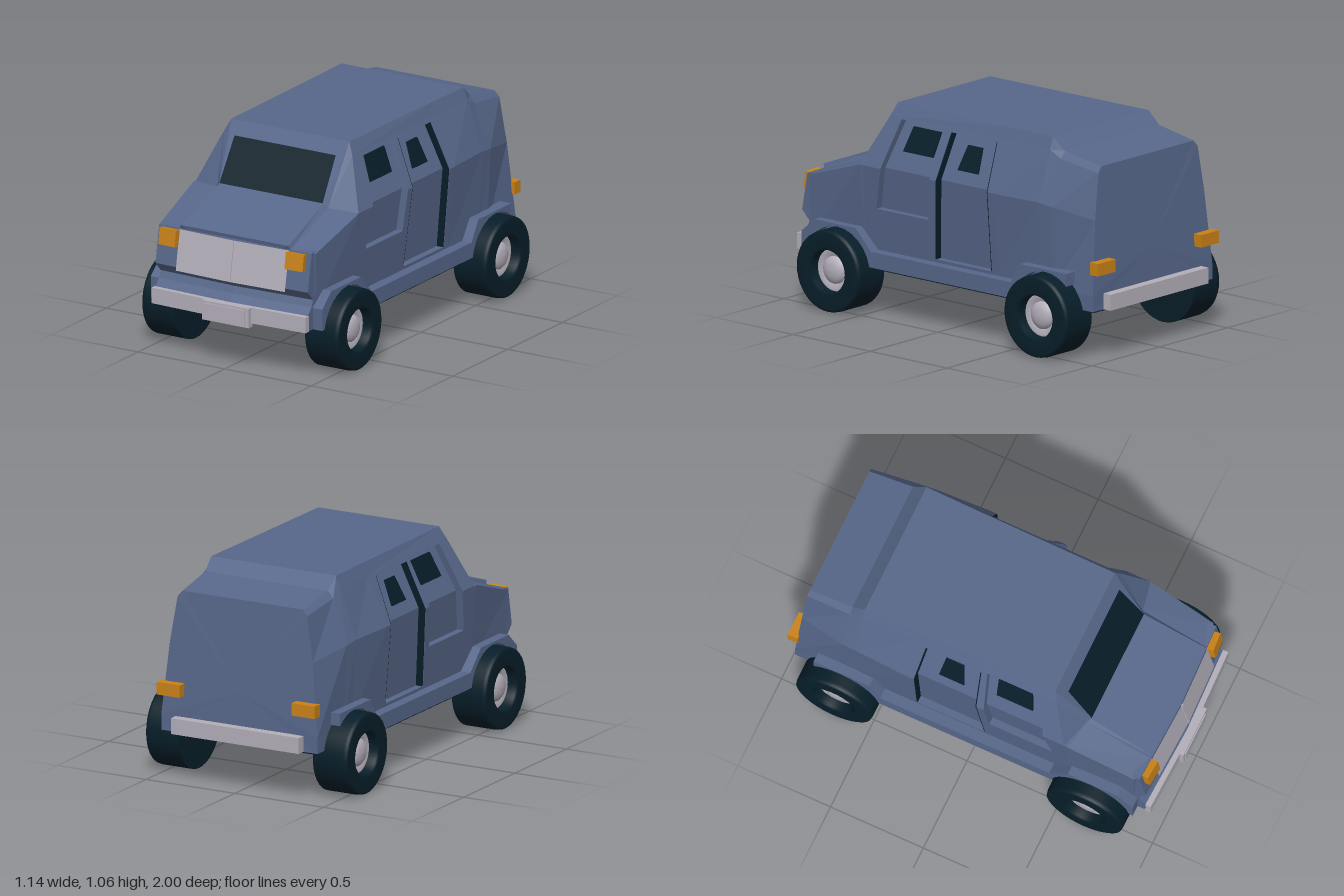
import * as THREE from 'three';

const mat = (name, color) => Object.assign(new THREE.MeshStandardMaterial({ color }), { name });

// Half section of the body from bottom edge to roof edge; inset sinks the side wall under the shoulder
const section = (xb, zb, belt, shoulder, roof, inset = 0) => {
  const [bx, by, bz] = belt, [sx, sy, sz] = shoulder;
  const half = [[xb, .25, zb], [xb - inset, .33, zb], [bx - inset, by, bz],
    [sx - inset, sy - inset / 8, sz], shoulder, roof];
  return [...half, ...half.slice().reverse().map(([x, y, z]) => [-x, y, z])];
};
// Cabin section with a leaning front pillar
const cabin = (z, lean, roofX, inset) => section(.44, z, [.475, .75, z + lean / 10],
  [.37, 1, z - lean * .8], [roofX, 1.06, z - lean], inset);

// Side surface of the cabin, as x for a height
const sideX = y => (y < .75 ? .44 + (y - .33) / .42 * .035 : .475 - (y - .75) / .25 * .105);

export function createModel() {
  const paint = mat('slate blue paint', 0x57678a);
  const dark = mat('dark rubber and glass', 0x071e29);
  const metal = mat('pale grey metal', 0xb3aeb9);
  const amber = mat('amber lamp', 0xc98218);

  const model = new THREE.Group();
  model.name = 'boxyVan';
  const add = (parent, name, geo, material) => {
    const m = new THREE.Mesh(geo, material);
    m.name = name;
    parent.add(m);
    return m;
  };
  const box = (parent, name, material, x0, x1, y0, y1, z0, z1) => {
    const g = new THREE.BoxGeometry(x1 - x0, y1 - y0, z1 - z0);
    return add(parent, name, g.translate((x0 + x1) / 2, (y0 + y1) / 2, (z0 + z1) / 2), material);
  };
  const flat = (coords) => {
    const g = new THREE.BufferGeometry();
    g.setAttribute('position', new THREE.Float32BufferAttribute(coords, 3));
    g.computeVertexNormals();
    return g;
  };
  const quad = (a, b, c, d) => flat([a, b, c, a, c, d].flat());

  // Main shell: hood, cabin sunk behind the doors, then the tapering tail
  const rings = [
    section(.44, .87, [.45, .635, .88], [.32, .64, .90], [.31, .66, .91]),
    section(.44, .52, [.476, .75, .53], [.32, .76, .56], [.30, .778, .575]),
    cabin(.50, .10, .34, 0),
    cabin(.49, .10, .34, .037),
    cabin(-.33, 0, .347, .037),
    cabin(-.34, 0, .347, 0),
    section(.44, -.62, [.462, .75, -.62], [.375, 1, -.62], [.352, 1.06, -.62]),
    section(.44, -.70, [.457, .74, -.70], [.375, .965, -.69], [.345, 1, -.69]),
    section(.44, -.955, [.402, .70, -.936], [.365, .93, -.926], [.34, .96, -.922]),
  ];
  const shell = [];
  const first = rings[0], last = rings[rings.length - 1];
  first.forEach((_, i) => {
    const j = (i + 1) % first.length;
    for (let s = 0; s < rings.length - 1; s++) {
      const [a, b, c, d] = [rings[s][i], rings[s][j], rings[s + 1][j], rings[s + 1][i]];
      shell.push(...a, ...d, ...c, ...a, ...c, ...b);
    }
    shell.push(0, .45, .87, ...first[i], ...first[j], 0, .5, -.945, ...last[j], ...last[i]);
  });
  add(model, 'bodyShell', flat(shell), paint);

  // Dark floor, wider between the wheel arches
  box(model, 'floor', dark, -.43, .43, .243, .249, -.95, .93);
  box(model, 'floorSides', dark, -.49, .49, .244, .2495, -.48, .885);

  // Nose: side profile extruded across, swept back slightly toward the corners
  const nose = new THREE.Shape([[.86, .25], [.945, .25], [.952, .33], [.92, .365], [.905, .40],
    [.953, .45], [.918, .64], [.86, .645]].map(p => new THREE.Vector2(...p)));
  const noseGeo = new THREE.ExtrudeGeometry(nose, { depth: .88, steps: 2, bevelEnabled: false });
  noseGeo.rotateY(-Math.PI / 2).translate(.44, 0, 0);
  const np = noseGeo.attributes.position;
  for (let i = 0; i < np.count; i++) {
    if (np.getZ(i) > .88) np.setZ(i, np.getZ(i) - .04 * Math.abs(np.getX(i)));
  }
  noseGeo.computeVertexNormals();
  add(model, 'nose', noseGeo, paint);

  // Windscreen plate
  add(model, 'windscreen', quad([-.298, .785, .577], [.298, .785, .577], [.292, .995, .448], [-.292, .995, .448]), dark);

  // Plate drawn in (z, y), lying on the side surface and reaching inward
  const sidePlate = (parent, name, pts, material, offset, depth, follow = true) => {
    const shape = new THREE.Shape(pts.map(p => new THREE.Vector2(...p)));
    const g = new THREE.ExtrudeGeometry(shape, { depth, bevelEnabled: false }).rotateY(-Math.PI / 2);
    const p = g.attributes.position;
    for (let i = 0; i < p.count; i++) p.setX(i, p.getX(i) + offset + (follow ? sideX(p.getY(i)) : 0));
    g.computeVertexNormals();
    add(parent, name, g, material);
  };
  const arch = (cz, a0, a1) => Array.from({ length: 13 }, (_, i) => {
    const a = a0 + (a1 - a0) * i / 12;
    return [cz + .215 * Math.cos(a), .205 + .215 * Math.sin(a)];
  });

  // Tyre and recessed hub profiles: radius, distance from the centre line
  const lathe = pts => new THREE.LatheGeometry(pts.map(p => new THREE.Vector2(...p)), 40).rotateZ(-Math.PI / 2);
  const tyre = lathe([[0, .378], [.203, .378], [.205, .38], [.205, .45], [.205, .545], [.202, .562],
    [.19, .568], [.12, .568], [.108, .56], [.106, .50]]);
  const rim = lathe([[.107, .515], [.10, .518], [.072, .512], [.066, .505]]);
  const cap = lathe([[.07, .505], [.068, .52], [.052, .534], [.028, .541], [0, .543]]);

  for (const s of [1, -1]) {
    const side = new THREE.Group();
    side.name = s > 0 ? 'leftSide' : 'rightSide';
    side.scale.x = s;
    model.add(side);

    // Outer skin with two door openings, below and above the belt line
    sidePlate(side, 'lowerSkin', [[.51, .33], [.51, .75], [.396, .75], [.437, .54], [.10, .54], [.077, .75],
      [.038, .75], [.07, .345], [-.30, .345], [-.30, .75], [-.34, .75], [-.34, .33]], paint, 0, .04);
    sidePlate(side, 'upperSkin', [[.51, .75], [.42, 1], [-.34, 1], [-.34, .75], [-.30, .75],
      [-.28, .98], [.02, .98], [.038, .75], [.077, .75], [.05, .99], [.345, .99], [.396, .75]], paint, 0, .04);

    // Dark jambs of the rear door: z at the bottom and top of each strip
    for (const [z0, y0, z1, y1] of [[-.30, .345, -.30, .75], [-.30, .75, -.28, .98],
      [.064, .345, .032, .75], [.032, .75, .014, .98]]) {
      sidePlate(side, 'doorJamb', [[z0, y0], [z0 + .006, y0], [z1 + .006, y1], [z1, y1]], dark, -.002, .036);
    }

    // Door windows
    sidePlate(side, 'frontDoorWindow', [[.31, .84], [.285, .96], [.105, .96], [.115, .84]], dark, -.031, .009);
    sidePlate(side, 'rearDoorWindow', [[-.055, .81], [-.08, .93], [-.175, .93], [-.19, .81]], dark, -.031, .009);

    // Sill and wheel arch flares
    sidePlate(side, 'sillAndFlares', [[.89, .25], [.89, .36], [.81, .432], [.54, .432], [.44, .33], [-.47, .33],
      [-.53, .432], [-.83, .432], ...arch(-.69, 2.28, .211), ...arch(.66, Math.PI - .211, .211)],
      paint, .495, .09, false);

    // Wheels
    for (const [name, z] of [['frontWheel', .66], ['rearWheel', -.69]]) {
      const wheel = new THREE.Group();
      wheel.name = name;
      wheel.position.set(0, .205, z);
      side.add(wheel);
      add(wheel, 'tyre', tyre, dark);
      add(wheel, 'rim', rim, metal);
      add(wheel, 'hubCap', cap, metal);
    }

    // Grille half, lamps and front bumper half
    add(side, 'grille', quad([0, .435, .960], [.315, .435, .948], [.315, .638, .911], [0, .638, .923]), metal);
    const lamp = box(side, 'frontLamp', amber, -.05, .05, -.042, .042, -.02, .02);
    lamp.position.set(.365, .593, .925);
    lamp.rotation.set(-.15, .08, 0);
    box(side, 'rearLamp', amber, .315, .445, .437, .50, -.993, -.94);
    const bumper = box(side, 'frontBumper', metal, 0, .445, .25, .33, .935, .978);
    const bp = bumper.geometry.attributes.position;
    for (let i = 0; i < bp.count; i++) if (bp.getX(i) > .1 && bp.getZ(i) > .95) bp.setZ(i, .963);
    bumper.geometry.computeVertexNormals();
  }

  // Centre grille rib, plate holder and rear bumper
  add(model, 'grilleRib', new THREE.BoxGeometry(.014, .2, .01).rotateX(-.18).translate(0, .536, .941), metal);
  box(model, 'plateHolder', metal, -.135, .135, .23, .33, .96, .994);
  box(model, 'blankPlate', metal, -.118, .112, .24, .318, .99, 1);
  box(model, 'rearBumper', metal, -.36, .36, .25, .33, -1, -.945);

  return model;
}
